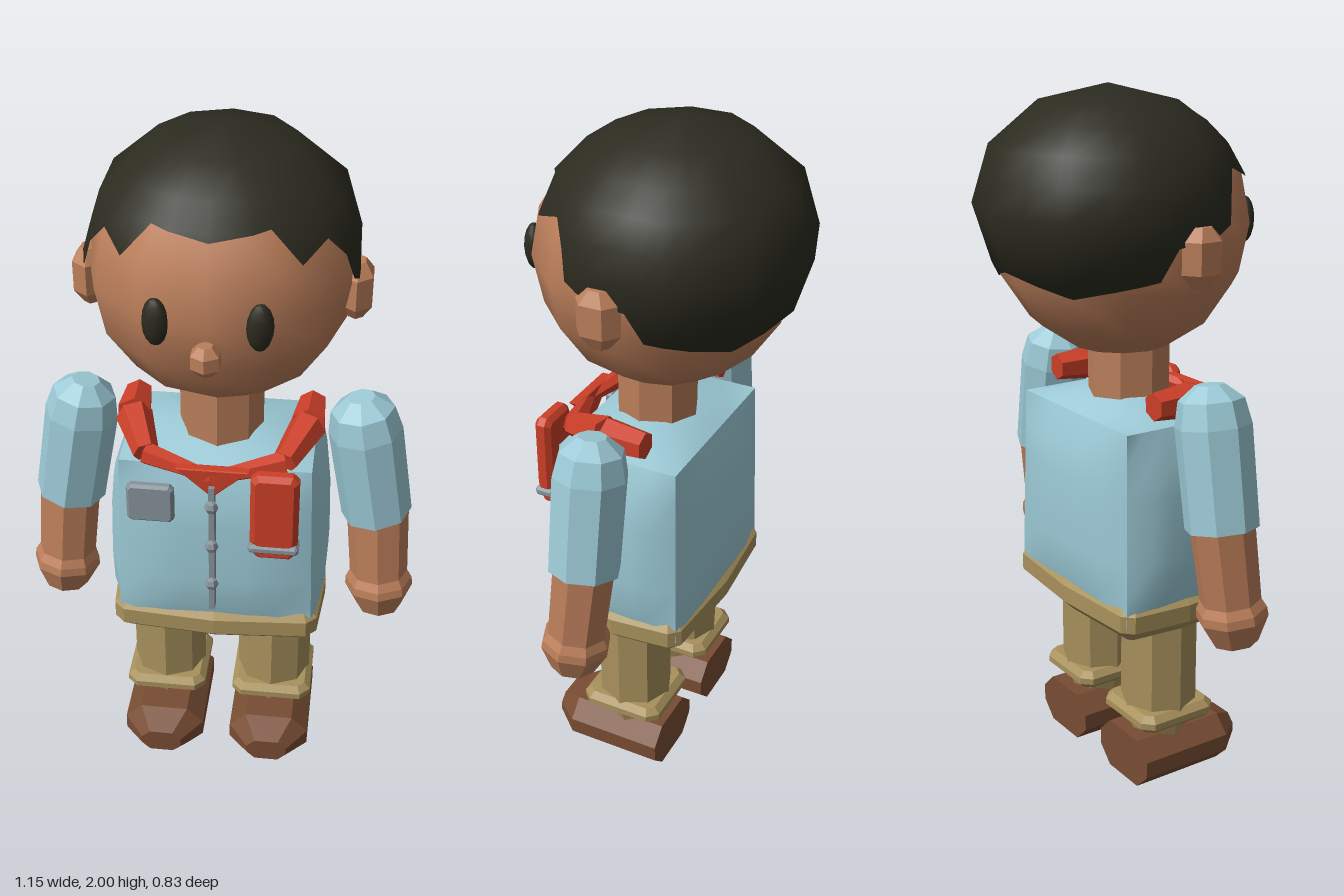
import * as THREE from 'three';

const V = (x, y, z) => new THREE.Vector3(x, y, z);

// faceted look: one normal per face
function flat(g) {
  const out = g.index ? g.toNonIndexed() : g;
  out.computeVertexNormals();
  return out;
}

// lathe from [radius, y] pairs, listed bottom to top
const turned = (profile, sides) =>
  flat(new THREE.LatheGeometry(profile.map(([r, y]) => new THREE.Vector2(r, y)), sides));

// chamfered slab from an outline, centred on its thickness, facing +z
function slab(points, thick, bevel) {
  const shape = new THREE.Shape(points.map(([x, y]) => new THREE.Vector2(x, y)));
  const g = new THREE.ExtrudeGeometry(shape, {
    depth: thick - 2 * bevel, bevelEnabled: true, bevelThickness: bevel,
    bevelSize: bevel, bevelOffset: -bevel, bevelSegments: 1,
  });
  g.translate(0, 0, bevel - thick / 2);
  return flat(g);
}

// rectangle outline with cut corners
const cutRect = (w, h, c) => [
  [-w + c, -h], [w - c, -h], [w, -h + c], [w, h - c],
  [w - c, h], [-w + c, h], [-w, h - c], [-w, -h + c],
];

// shirt body: box whose faces bulge, with crisp edges
function torsoGeometry() {
  const g = new THREE.BoxGeometry(2, 2, 2, 6, 6, 6);
  const p = g.attributes.position;
  const f = (a, b) => (1 - a ** 4) * (1 - b ** 4);
  for (let i = 0; i < p.count; i++) {
    const x = p.getX(i), y = p.getY(i), z = p.getZ(i);
    const w = 1 - 0.03 * y;
    const bx = Math.abs(x) > 0.999 ? Math.sign(x) * 0.04 * f(y, z) : 0;
    const by = y > 0.999 ? 0.055 * (1 - x * x) * (1 - z * z) : 0;
    const bz = Math.abs(z) > 0.999 ? Math.sign(z) * 0.04 * f(x, y) : 0;
    p.setXYZ(i, x * 0.275 * w + bx, 0.825 + y * 0.28 + by, 0.022 + z * 0.185 * w + bz);
  }
  g.computeVertexNormals();
  return g;
}

// hair cap: ten-sided dome cut off at a jagged hairline
function hairGeometry() {
  const line = [[0, 1.825], [26.5, 1.845], [37, 1.757], [53, 1.79], [62, 1.73], [66, 1.655],
    [76, 1.625], [93, 1.61], [100, 1.525], [140, 1.475], [180, 1.525]];
  const dome = [[2, 0], [1.957, 0.1875], [1.84, 0.325], [1.68, 0.375], [1.52, 0.325], [1.4, 0.1875]];
  const lerpTable = (t, v, dir) => {
    for (let i = 0; i < t.length - 1; i++) {
      const [a, fa] = t[i], [b, fb] = t[i + 1];
      if (dir * v <= dir * b + 1e-9) return fa + (fb - fa) * (v - a) / (b - a);
    }
    return t[t.length - 1][1];
  };
  const half = [...new Set([...line.map((l) => l[0]), 18, 36, 72, 108, 120, 144, 160])].sort((a, b) => a - b);
  const cols = [...half.slice(1).reverse().map((a) => -a), ...half];
  const rows = [2, 1.957, 1.9, 1.84, 1.76, 1.68, 1.6, 1.52, 0];
  const pos = [], nor = [], idx = [];
  rows.forEach((row, i) => cols.forEach((a, j) => {
    const t = THREE.MathUtils.degToRad(a);
    const y = Math.max(row, lerpTable(line, Math.abs(a), 1));
    const facet = Math.cos(Math.PI / 10) / Math.cos(THREE.MathUtils.degToRad((Math.abs(a) % 36) - 18));
    const r = lerpTable(dome, y, -1) * facet;
    let x = r * Math.sin(t), z = r * Math.cos(t) - 0.04;
    // keep the hair just outside the scalp
    const scalp = Math.sqrt(Math.max(0, 0.1296 - (y - 1.62) ** 2)) + 0.007;
    const d = Math.hypot(x, z);
    if (y < 1.95 && d < scalp) { x *= scalp / d; z *= scalp / d; }
    pos.push(x, y, z);
    const n = V(x / 0.14, (y - 1.68) / 0.1024, (z + 0.04) / 0.14).normalize();
    nor.push(n.x, n.y, n.z);
    if (i < rows.length - 1 && j < cols.length - 1) {
      const k = i * cols.length + j, b = k + cols.length;
      idx.push(k, b, k + 1, b, b + 1, k + 1);
    }
  }));
  const g = new THREE.BufferGeometry();
  g.setAttribute('position', new THREE.Float32BufferAttribute(pos, 3));
  g.setAttribute('normal', new THREE.Float32BufferAttribute(nor, 3));
  g.setIndex(idx);
  return g;
}

// shoe: octagonal section run along z, narrowed at the toe
function shoeGeometry() {
  const shape = new THREE.Shape(cutRect(0.122, 0.075, 0.05).map(([x, y]) => new THREE.Vector2(x, y)));
  const g = new THREE.ExtrudeGeometry(shape, { depth: 0.365, steps: 5, bevelEnabled: false });
  const p = g.attributes.position;
  for (let i = 0; i < p.count; i++) {
    const s = p.getZ(i) > 0.36 ? 0.5 : 1;
    p.setXY(i, p.getX(i) * s, p.getY(i) * s + 0.075);
  }
  g.translate(0, 0, -0.1);
  return flat(g);
}

export function createModel() {
  const model = new THREE.Group();
  const mat = (name, color, side = THREE.FrontSide) => {
    const m = new THREE.MeshStandardMaterial({ color, side });
    m.name = name;
    return m;
  };
  const skin = mat('skin', 0xbb7e5a);
  const dark = mat('dark hair', 0x2b2b20, THREE.DoubleSide);
  const blue = mat('shirt blue', 0x9ccad6);
  const red = mat('scarf red', 0xcc3f28);
  const khaki = mat('khaki', 0xa8915c);
  const brown = mat('shoe brown', 0x784c33);
  const grey = mat('metal grey', 0x87929a);
  const add = (name, geo, material, x = 0, y = 0, z = 0) => {
    const m = new THREE.Mesh(geo, material);
    m.name = name;
    m.position.set(x, y, z);
    model.add(m);
    return m;
  };
  // tapered bar between two points
  const bar = (name, a, b, ra, rb, material) => {
    const d = b.clone().sub(a);
    const m = add(name, flat(new THREE.CylinderGeometry(rb, ra, d.length(), 6)), material);
    m.position.copy(a).add(b).multiplyScalar(0.5);
    m.quaternion.setFromUnitVectors(V(0, 1, 0), d.normalize());
  };

  // head
  const skull = new THREE.SphereGeometry(0.36, 12, 8);
  const sp = skull.attributes.position;
  for (let i = 0; i < sp.count; i++) sp.setY(i, Math.max(sp.getY(i), -0.336));
  add('head', skull, skin, 0, 1.62, 0);
  add('hair', hairGeometry(), dark);
  add('nose', turned([[0, -0.04], [0.02, -0.04], [0.041, -0.018], [0.041, 0.018], [0.02, 0.04], [0, 0.04]], 6),
    skin, 0, 1.545, 0.37);
  add('neck', turned([[0, 1.08], [0.118, 1.08], [0.118, 1.3], [0, 1.3]], 8), skin, 0, 0, 0.028);

  // body
  add('shirt', torsoGeometry(), blue);
  const waist = [[-0.27, -0.205], [0, -0.225], [0.27, -0.205], [0.3, -0.175], [0.316, 0],
    [0.3, 0.175], [0.27, 0.205], [0, 0.225], [-0.27, 0.205], [-0.3, 0.175], [-0.316, 0], [-0.3, -0.175]];
  add('trouserWaist', slab(waist, 0.12, 0.035), khaki, 0, 0.558, 0.025).rotation.x = -Math.PI / 2;

  // paired parts
  for (const s of [1, -1]) {
    const side = s > 0 ? 'left' : 'right';
    const eye = add(side + 'Eye', new THREE.SphereGeometry(1, 10, 8), dark, s * 0.13, 1.622, 0.332);
    eye.scale.set(0.035, 0.065, 0.027);
    eye.rotation.y = s * 0.25;
    add(side + 'Ear', turned([[0, -0.08], [0.03, -0.08], [0.064, -0.04], [0.064, 0.045], [0.03, 0.08], [0, 0.08]], 6)
      .scale(0.75, 1, 1), skin, s * 0.355, 1.58, 0.014);

    const sleeve = add(side + 'Sleeve', turned([[0, -0.39], [0.102, -0.39], [0.105, -0.11], [0.09, -0.04],
      [0.04, 0], [0, 0]], 8), blue, s * 0.385, 1.248, 0.025);
    sleeve.rotation.z = s * 0.17;
    const forearm = add(side + 'Forearm', turned([[0, -0.375], [0.065, -0.375], [0.1, -0.3], [0.098, -0.275],
      [0.085, -0.25], [0.09, -0.02], [0, -0.02]], 8), skin, s * 0.452, 0.905, 0.02);
    forearm.rotation.set(-0.1, 0, s * 0.075);

    add(side + 'TrouserLeg', turned([[0, 0.13], [0.085, 0.13], [0.1, 0.19], [0.112, 0.21], [0.112, 0.54],
      [0, 0.54]], 8), khaki, s * 0.165, 0, 0.025);
    add(side + 'Cuff', slab(cutRect(0.122, 0.127, 0.03), 0.055, 0.018), khaki, s * 0.165, 0.207, 0.027)
      .rotation.x = -Math.PI / 2;
    add(side + 'Shoe', shoeGeometry(), brown, s * 0.165, 0, 0);

    // scarf over the shoulder and down to the knot
    const back = V(s * 0.25, 1.165, -0.06), over = V(s * 0.245, 1.165, 0.06);
    const front = V(s * 0.19, 1.13, 0.195), knot = V(0, 1.105, 0.255);
    bar(side + 'ScarfShoulder', back, over, 0.04, 0.052, red);
    bar(side + 'ScarfFold', over, front, 0.052, 0.036, red);
    bar(side + 'ScarfFront', front, knot, 0.034, 0.018, red);
  }
  add('scarfKnot', slab([[-0.1, 0.035], [0, -0.055], [0.1, 0.035]], 0.03, 0.004), red, 0, 1.1, 0.252);

  // zip with three studs
  add('zip', flat(new THREE.BoxGeometry(0.016, 0.43, 0.035)), grey, 0, 0.87, 0.262);
  for (const y of [0.755, 0.89, 1.025]) {
    add('zipStud', flat(new THREE.SphereGeometry(0.02, 6, 4)), grey, 0, y, 0.282);
  }

  // badge and strapped pouch
  add('badge', slab(cutRect(0.066, 0.061, 0.012), 0.03, 0.008), grey, -0.173, 1.005, 0.25);
  add('pouch', slab(cutRect(0.066, 0.122, 0.018), 0.05, 0.014), red, 0.173, 1.025, 0.277);
  add('pouchBase', slab(cutRect(0.058, 0.03, 0.015), 0.04, 0.01), red, 0.173, 0.893, 0.272);
  add('pouchStrap', slab(cutRect(0.07, 0.014, 0.008), 0.06, 0.008), grey, 0.173, 0.905, 0.277);

  return model;
}
